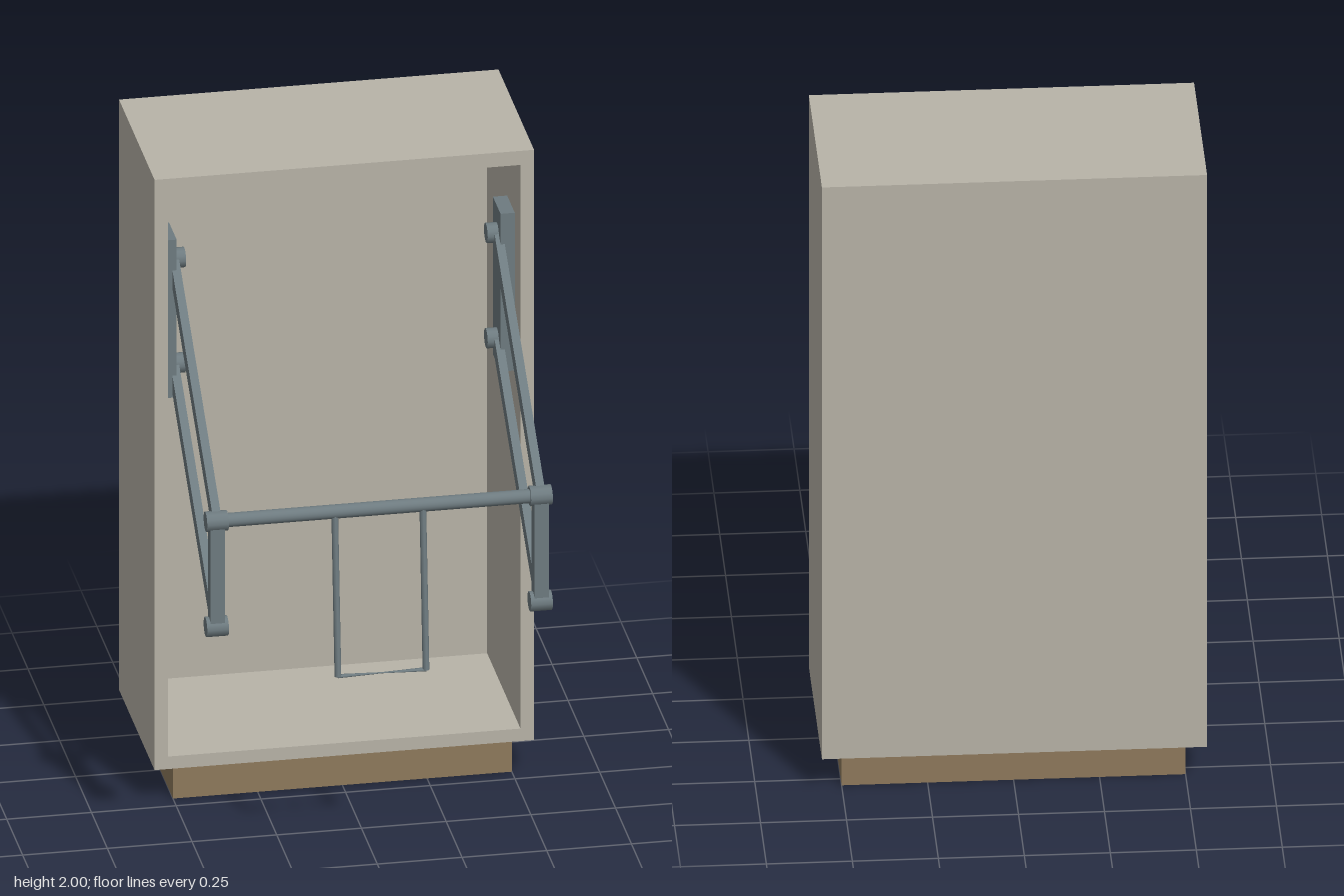
import * as THREE from 'three';

export function createModel() {
  const model = new THREE.Group();
  model.name = 'cabinetWithPullDownRail';

  const material = (name, color) => {
    const m = new THREE.MeshStandardMaterial({ color });
    m.name = name;
    return m;
  };
  const panel = material('warm grey panel', 0xb8b4a8);
  const wood = material('brown wood', 0x8f7a5c);
  const metal = material('grey steel', 0x6e7b80);

  const add = (name, geometry, mat, x, y, z, parent = model) => {
    const mesh = new THREE.Mesh(geometry, mat);
    mesh.name = name;
    mesh.position.set(x, y, z);
    parent.add(mesh);
    return mesh;
  };
  const box = (w, h, d) => new THREE.BoxGeometry(w, h, d);
  // Cylinder lying along x
  const pin = (r, length, sides) =>
    new THREE.CylinderGeometry(r, r, length, sides).rotateZ(Math.PI / 2);
  // Bar between two points: the geometry's y axis is turned onto the line
  const bar = (name, geometry, from, to, parent) => {
    const mid = from.clone().add(to).multiplyScalar(0.5);
    const mesh = add(name, geometry, metal, mid.x, mid.y, mid.z, parent);
    mesh.quaternion.setFromUnitVectors(
      new THREE.Vector3(0, 1, 0), to.clone().sub(from).normalize());
    return mesh;
  };

  // Open cabinet: rectangular frame extruded in depth, with a back panel
  const frame = new THREE.Shape([
    new THREE.Vector2(-0.56, 0.11), new THREE.Vector2(0.56, 0.11),
    new THREE.Vector2(0.56, 2), new THREE.Vector2(-0.56, 2)]);
  frame.holes.push(new THREE.Path([
    new THREE.Vector2(-0.52, 0.15), new THREE.Vector2(-0.52, 1.955),
    new THREE.Vector2(0.52, 1.955), new THREE.Vector2(0.52, 0.15)]));
  add('cabinetFrame', new THREE.ExtrudeGeometry(frame, { depth: 0.56, bevelEnabled: false }),
    panel, 0, 0, -0.58);
  add('backPanel', box(1.04, 1.805, 0.035), panel, 0, 1.0525, -0.5625);
  add('plinth', box(1, 0.11, 0.49), wood, 0, 0.055, -0.295);

  // Swinging linkage on each side
  const frontZ = 0.515, rearZ = -0.165, rise = 0.53;
  const upperY = 1.147, lowerY = 0.81;
  for (const side of [-1, 1]) {
    const link = new THREE.Group();
    link.name = side > 0 ? 'leftLinkage' : 'rightLinkage';
    model.add(link);
    const x = side * 0.478;
    add('mountingPlate', box(0.042, 0.505, 0.12), metal, side * 0.499, 1.508, -0.17, link);
    add('frontLink', box(0.042, upperY - lowerY, 0.045), metal,
      x, (upperY + lowerY) / 2, frontZ, link);
    for (const y of [upperY, lowerY]) {
      const from = new THREE.Vector3(x, y, frontZ);
      const to = new THREE.Vector3(x, y + rise, rearZ);
      bar('swingArm', box(0.025, from.distanceTo(to), 0.045), from, to, link);
      add('frontPivot', pin(0.03, 0.064, 12), metal, x, y, frontZ, link);
      add('rearPivot', pin(0.03, 0.034, 12), metal, side * 0.462, y + rise, rearZ, link);
    }
  }

  // Hanging rail between the linkages
  add('hangingRail', pin(0.021, 0.95, 20), metal, 0, upperY, frontZ);

  // Slanted pull handle, its grip narrowing to the middle
  const handle = new THREE.Group();
  handle.name = 'pullHandle';
  model.add(handle);
  const grip = new THREE.Vector3(0, 0.645, 0.57);
  for (const side of [-1, 1]) {
    const top = new THREE.Vector3(side * 0.13, 1.147, 0.523);
    const bottom = new THREE.Vector3(side * 0.13, 0.645, 0.573);
    bar('handleLeg', new THREE.CylinderGeometry(0.01, 0.01, top.distanceTo(bottom), 8),
      top, bottom, handle);
    const half = new THREE.CylinderGeometry(0.01, 0.003, 0.13, 8);
    half.rotateZ(-side * Math.PI / 2).scale(1, 0.5, 1);
    add('handleGrip', half, metal, side * 0.065, grip.y, grip.z, handle);
  }

  return model;
}
